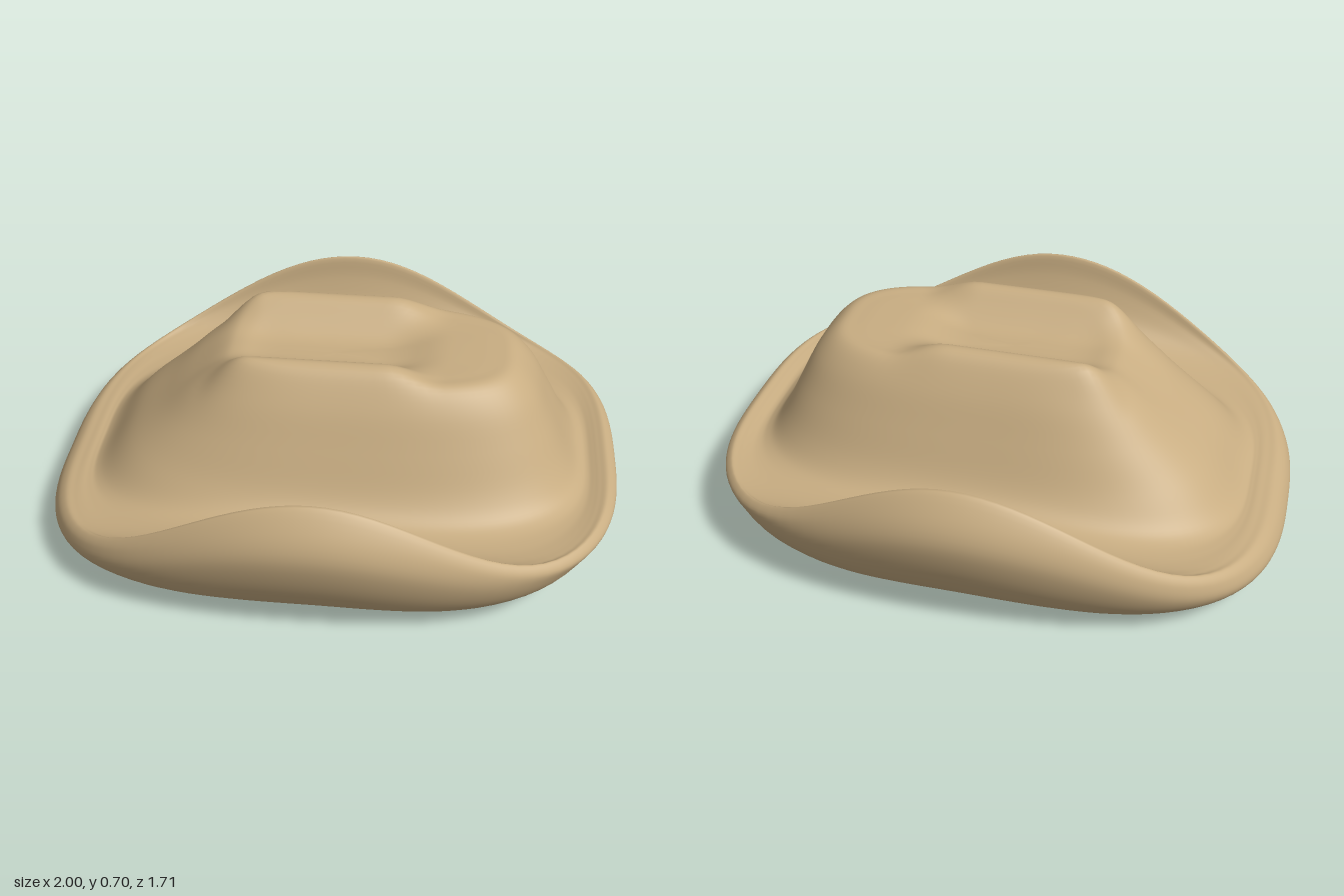
import * as THREE from 'three';

const { lerp, smoothstep } = THREE.MathUtils;

// Each row is one closed ring: [side z, side y, right-end x, y, left-end x, y]
const cavity = [
  [0.0, 0.4, 0.0, 0.4, 0.0, 0.4],
  [0.13, 0.39, -0.2, 0.39, 0.18, 0.385],
  [0.26, 0.345, -0.4, 0.32, 0.36, 0.325],
  [0.37, 0.27, -0.54, 0.23, 0.51, 0.24],
  [0.46, 0.18, -0.64, 0.14, 0.62, 0.15],
];
const brim = [
  [0.54, 0.095, -0.72, 0.055, 0.7, 0.07],
  [0.61, 0.045, -0.78, 0.005, 0.76, 0.02],
  [0.72, 0.105, -0.9, 0.03, 0.85, 0.06],
  [0.78, 0.23, -0.97, 0.06, 0.93, 0.12],
  [0.81, 0.38, -1.0, 0.1, 0.98, 0.19],
  [0.8, 0.49, -0.98, 0.15, 1.0, 0.23],
  [0.765, 0.555, -0.945, 0.18, 0.97, 0.26],
  [0.745, 0.47, -0.91, 0.187, 0.94, 0.256],
  [0.7, 0.355, -0.89, 0.19, 0.92, 0.25],
  [0.63, 0.285, -0.87, 0.19, 0.9, 0.245],
  [0.55, 0.265, -0.85, 0.195, 0.88, 0.25],
];
const crown = [
  [0.49, 0.28, -0.81, 0.23, 0.85, 0.275],
  [0.44, 0.335, -0.72, 0.335, 0.81, 0.34],
  [0.38, 0.46, -0.6, 0.44, 0.75, 0.46],
  [0.32, 0.585, -0.5, 0.53, 0.69, 0.57],
  [0.265, 0.65, -0.4, 0.615, 0.62, 0.64],
  [0.21, 0.65, -0.34, 0.64, 0.55, 0.65],
  [0.15, 0.645, -0.26, 0.64, 0.45, 0.65],
  [0.08, 0.64, -0.15, 0.64, 0.28, 0.645],
  [0.0, 0.64, 0.0, 0.64, 0.0, 0.64],
];

// Twin lengthwise ridges with a groove between them on top of the crown
function crease(x, z) {
  const fade = 1 - smoothstep(x, 0.18, 0.38);
  const ridge = 0.056 * smoothstep(x, -0.45, -0.28) * Math.exp(-(((Math.abs(z) - 0.21) / 0.06) ** 2));
  const groove = 0.035 * smoothstep(x, -0.6, -0.2) * Math.exp(-((z / 0.11) ** 4));
  return fade * (ridge - groove);
}

// Rings are rounded rectangles whose height blends from the ends to the sides
function loftRings(rows, brimStart, crownStart, steps, segments) {
  const spline = (k) => new THREE.SplineCurve(rows.map((r) => new THREE.Vector2(r[k], r[k + 1])));
  const [side, right, left] = [spline(0), spline(2), spline(4)];
  const positions = [];
  const indices = [];
  for (let i = 0; i <= steps; i++) {
    const u = i / steps;
    const s = side.getPoint(u), r = right.getPoint(u), l = left.getPoint(u);
    const row = u * (rows.length - 1);
    const isCrown = smoothstep(row, crownStart - 1, crownStart + 2);
    const power = lerp(2.75, 3.2, smoothstep(row, brimStart + 4, brimStart + 7));
    // The outside of each curled side swells a little at its middle
    const swell = 0.055 * smoothstep(row, brimStart + 1, brimStart + 4) * (1 - smoothstep(row, brimStart + 4, brimStart + 6));
    for (let j = 0; j < segments; j++) {
      const a = (j / segments) * Math.PI * 2;
      const c = Math.cos(a), d = Math.sin(a);
      const k = Math.pow(Math.abs(c) ** power + Math.abs(d) ** power, -1 / power);
      const t = c * k, v = d * k;
      const x = t > 0 ? t * l.x : -t * r.x;
      const z = v * s.x * (1 + swell * Math.exp(-((x / 0.38) ** 2)));
      // Curled brim follows a bell along x; the crown follows the ring's width
      const reach = t < 0 ? 1 : 0.9;
      const bell = 0.5 + 0.5 * Math.cos(Math.PI * Math.min(1, Math.abs(t) / reach));
      const weight = lerp(bell, Math.abs(v) ** 3, isCrown);
      const end = lerp(r.y, l.y, Math.sqrt(Math.max(0, (t + 1) / 2)));
      positions.push(x, lerp(end, s.y, weight) + isCrown * crease(x, z), z);
      if (i < steps) {
        const p = i * segments + j, q = i * segments + ((j + 1) % segments);
        indices.push(p, p + segments, q, q, p + segments, q + segments);
      }
    }
  }
  const geometry = new THREE.BufferGeometry();
  geometry.setAttribute('position', new THREE.Float32BufferAttribute(positions, 3));
  geometry.setIndex(indices);
  geometry.computeVertexNormals();
  return geometry;
}

export function createModel() {
  const model = new THREE.Group();
  model.name = 'hat';
  const tanFelt = new THREE.MeshStandardMaterial({ color: 0xc8ad82 });
  tanFelt.name = 'tan felt';
  // One continuous felt body: inner cavity, curled brim, creased crown
  const rows = [...cavity, ...brim, ...crown];
  const geometry = loftRings(rows, cavity.length, cavity.length + brim.length, 120, 128);
  const body = new THREE.Mesh(geometry, tanFelt);
  body.name = 'feltBody';
  model.add(body);
  return model;
}
